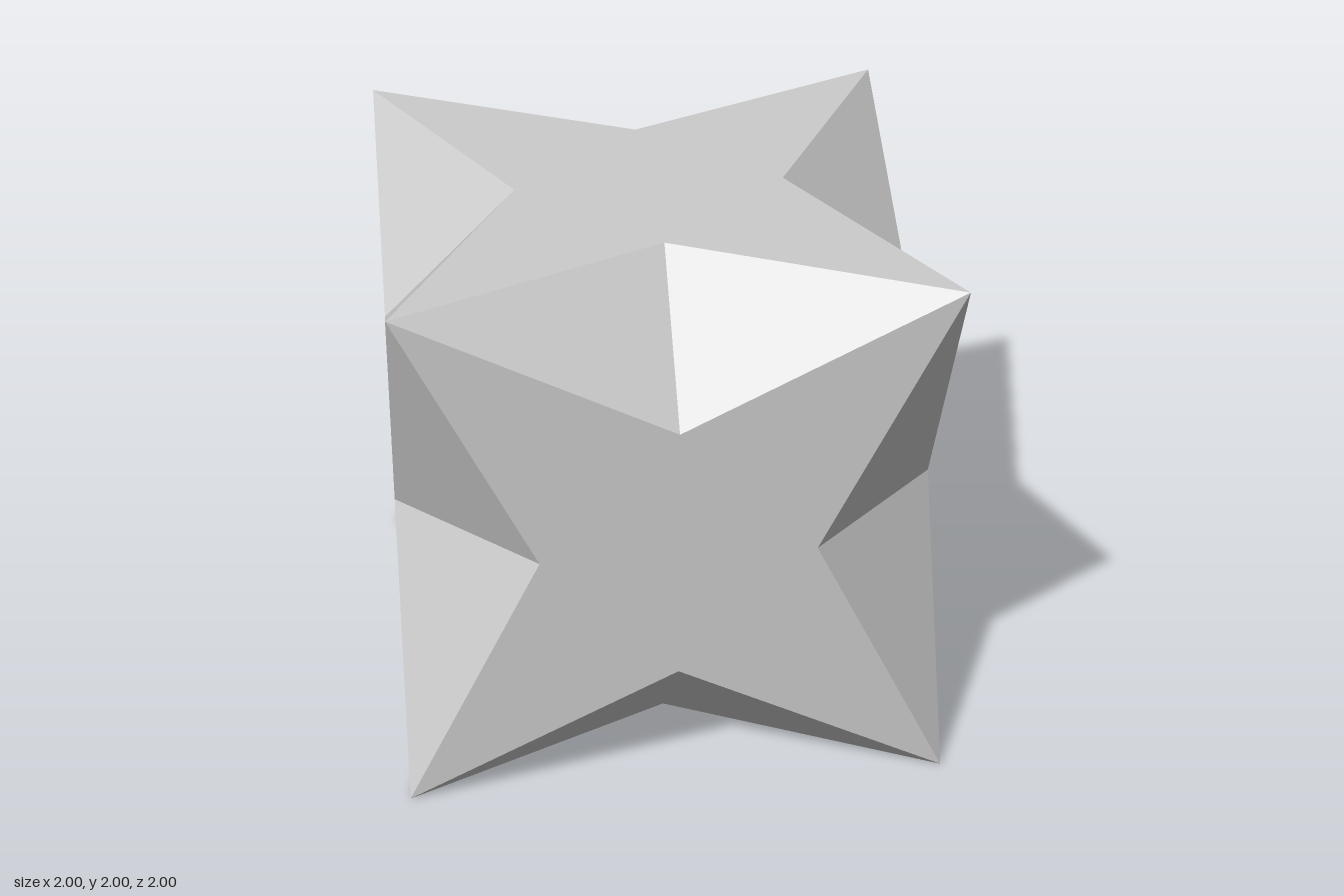
import * as THREE from 'three';

const OUTER = 1;   // half the cube's side: the eight spike tips
const INNER = 0.5; // distance of the star's inner corners from the face centre

// Flat four-pointed star lying on the +z side of the cube
function starFaceGeometry() {
  const o = OUTER, i = INNER;
  const points = [[o, o], [0, i], [-o, o], [-i, 0], [-o, -o], [0, -i], [o, -o], [i, 0]];
  const shape = new THREE.Shape(points.map(([x, y]) => new THREE.Vector2(x, y)));
  return new THREE.ShapeGeometry(shape).translate(0, 0, o);
}

// Two triangles cutting back the cube edge that runs along x at +y, +z
function notchGeometry() {
  const o = OUTER, i = INNER;
  const left = [-o, o, o], right = [o, o, o], front = [0, i, o], top = [0, o, i];
  const geometry = new THREE.BufferGeometry();
  geometry.setAttribute('position', new THREE.Float32BufferAttribute(
    [left, front, top, right, top, front].flat(), 3));
  geometry.computeVertexNormals();
  return geometry;
}

export function createModel() {
  const model = new THREE.Group();
  model.name = 'starCube';
  const material = new THREE.MeshStandardMaterial({ color: 0xcccccc, flatShading: true });
  const quarter = Math.PI / 2;

  const add = (geometry, name) => {
    const mesh = new THREE.Mesh(geometry.translate(0, OUTER, 0), material);
    mesh.name = name;
    model.add(mesh);
  };

  // Six star faces
  ['front', 'left', 'back', 'right'].forEach((side, k) =>
    add(starFaceGeometry().rotateY(k * quarter), `${side}StarFace`));
  add(starFaceGeometry().rotateX(-quarter), 'topStarFace');
  add(starFaceGeometry().rotateX(quarter), 'bottomStarFace');

  // Twelve edge notches: four around each axis
  for (let k = 0; k < 4; k++) {
    add(notchGeometry().rotateX(k * quarter), `notchAlongX${k + 1}`);
    add(notchGeometry().rotateX(k * quarter).rotateZ(quarter), `notchAlongY${k + 1}`);
    add(notchGeometry().rotateX(k * quarter).rotateY(quarter), `notchAlongZ${k + 1}`);
  }

  return model;
}
